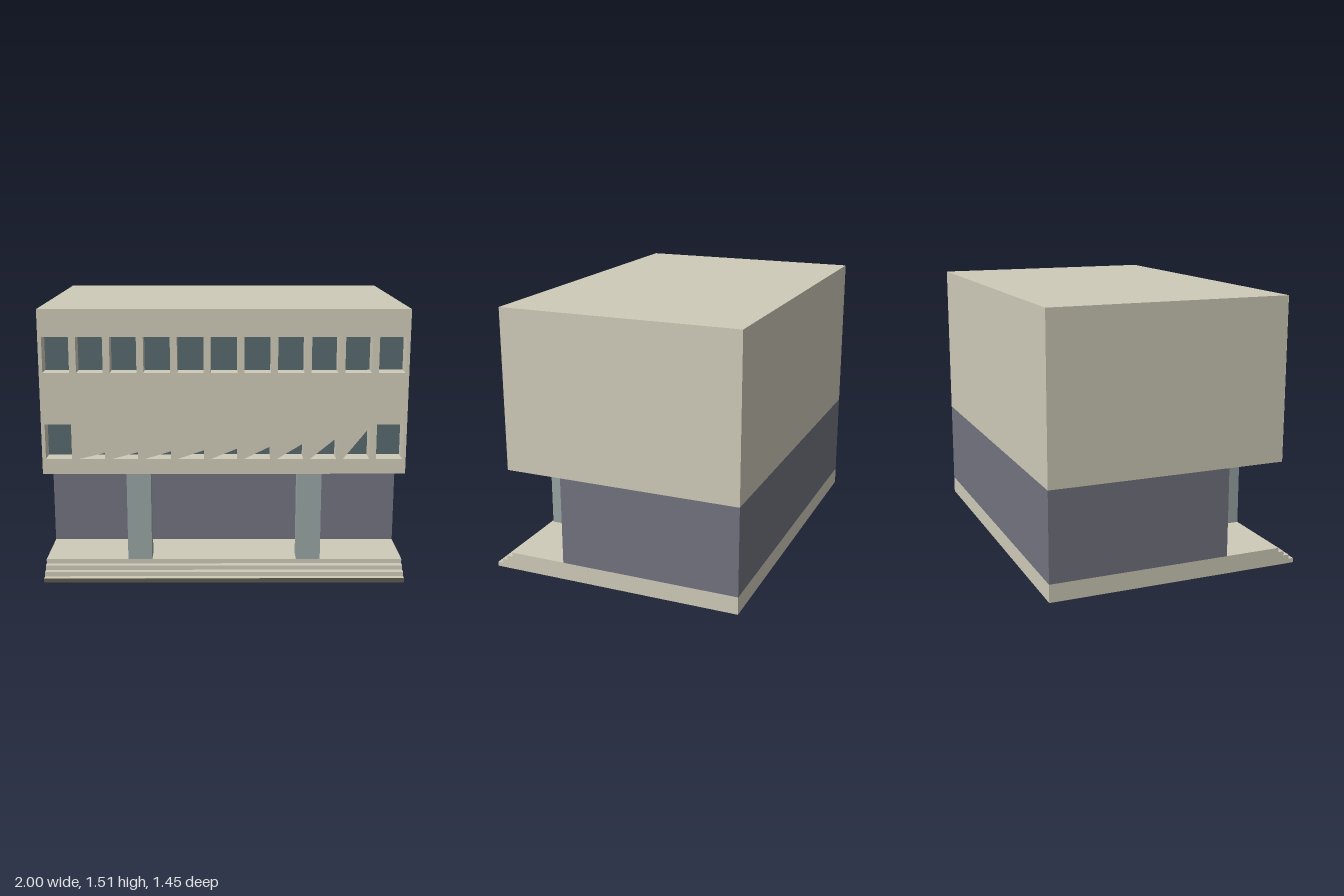
import * as THREE from 'three';

const mat = (color) => new THREE.MeshStandardMaterial({ color, flatShading: true });

export function createModel() {
  const model = new THREE.Group();
  const stone = mat(0xcfcbb9), slate = mat(0x737380), pillar = mat(0x98a5a3);
  const glass = mat(0x586a70), shadow = mat(0x5f5a50);

  const add = (name, geometry, material, parent = model) => {
    const mesh = new THREE.Mesh(geometry, material);
    mesh.name = name;
    parent.add(mesh);
    return mesh;
  };
  // Box given by its limits on each axis
  const block = (name, [x0, x1], [y0, y1], [z0, z1], material) => {
    const mesh = add(name, new THREE.BoxGeometry(x1 - x0, y1 - y0, z1 - z0), material);
    mesh.position.set((x0 + x1) / 2, (y0 + y1) / 2, (z0 + z1) / 2);
    return mesh;
  };
  const points = (list) => list.map(([x, y]) => new THREE.Vector2(x, y));

  const back = -0.725, front = 0.627, top = 1.51, floor = 0.6;

  // Stepped base: side profile in (z, y), extruded across the width
  const profile = [[back, 0], [0.725, 0]];
  const stepEdges = [0.725, 0.695, 0.662, front];
  stepEdges.forEach((z, i) => {
    if (i > 0) profile.push([z, 0.025 * i]);
    profile.push([z, 0.025 * (i + 1)]);
  });
  profile.push([back, 0.1]);
  const baseGeometry = new THREE.ExtrudeGeometry(new THREE.Shape(points(profile)), { depth: 2, bevelEnabled: false });
  baseGeometry.rotateY(-Math.PI / 2).translate(1, 0, 0);
  add('steppedBase', baseGeometry, stone);
  const riser = add('bottomRiser', new THREE.PlaneGeometry(2, 0.025), shadow);
  riser.position.set(0, 0.0125, 0.7262);

  // Recessed ground floor and the two front columns
  block('groundFloor', [-1, 1], [0.1, floor], [back, 0.3], slate);
  for (const s of [-1, 1]) block('column', [s * 0.472 - 0.067, s * 0.472 + 0.067], [0.1, floor], [0.527, front], pillar);

  // Upper storeys: solid core behind a wall with deep window recesses
  const wallBack = 0.525;
  block('upperStoreys', [-1, 1], [floor, top], [back, wallBack], stone);
  const outline = points([[-1, floor], [1, floor], [1, top], [-1, top]]);
  const wall = new THREE.Shape(outline), face = new THREE.Shape(outline);
  const panes = new THREE.Group();
  panes.name = 'windowPanes';
  model.add(panes);

  const w = 0.144, h = 0.195;
  for (const y of [1.165, 0.685]) {
    for (let i = 0; i < 11; i++) {
      const x = -0.98 + i * 0.1816;
      const rect = [[x, y], [x, y + h], [x + w, y + h], [x + w, y]];
      wall.holes.push(new THREE.Path(points(rect)));
      // Middle openings of the lower row are wedges that grow to the right
      const wedge = y < 1 && i > 0 && i < 10;
      const rise = w * 0.435 / (1 - x);
      const opening = wedge ? [[x, y], [x + w, y + rise], [x + w, y]] : rect;
      face.holes.push(new THREE.Path(points(opening)));
      const pane = add('windowPane', new THREE.PlaneGeometry(w, h), glass, panes);
      pane.position.set(x + w / 2, y + h / 2, wallBack + 0.002);
    }
  }
  const wallGeometry = new THREE.ExtrudeGeometry(wall, { depth: front - wallBack - 0.001, bevelEnabled: false });
  add('frontWall', wallGeometry, stone).position.z = wallBack;
  const facing = stone.clone();
  facing.side = THREE.DoubleSide;
  add('frontFacing', new THREE.ShapeGeometry(face), facing).position.z = front;

  return model;
}
